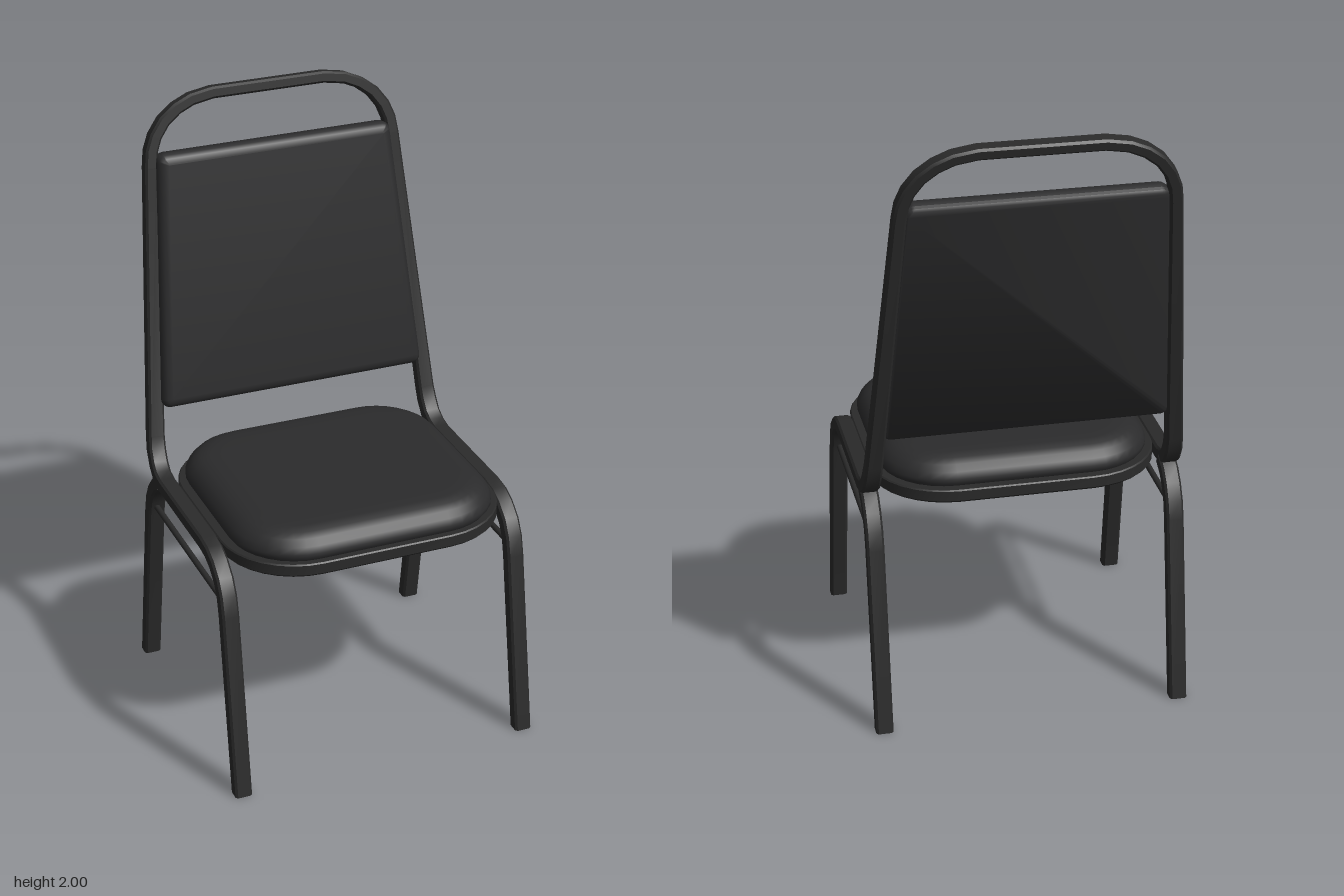
import * as THREE from 'three';
import { toCreasedNormals } from 'three/addons/utils/BufferGeometryUtils.js';

const TILT = 0.1844; // lean of the backrest
const V = (x, y, z) => new THREE.Vector3(x, y, z);

// Skin a list of equal-length rings and close both ends
function loft(rings, crease) {
  const n = rings[0].length, last = (rings.length - 1) * n, pos = [], idx = [];
  rings.forEach(r => r.forEach(p => pos.push(p.x, p.y, p.z)));
  for (let i = 0; i < rings.length - 1; i++) {
    for (let j = 0; j < n; j++) {
      const a = i * n + j, b = i * n + (j + 1) % n;
      idx.push(a, b, b + n, a, b + n, a + n);
    }
  }
  for (let j = 1; j < n - 1; j++) idx.push(0, j + 1, j, last, last + j, last + j + 1);
  const g = new THREE.BufferGeometry();
  g.setAttribute('position', new THREE.Float32BufferAttribute(pos, 3));
  g.setIndex(idx);
  return toCreasedNormals(g, crease);
}

// Chamfered rectangular tube along a path; the feet are cut flat on the floor
function squareTube(path) {
  const backNormal = V(0, -Math.sin(TILT), -Math.cos(TILT));
  const rings = path.map((p, i) => {
    const before = path[Math.max(i - 1, 0)], after = path[Math.min(i + 1, path.length - 1)];
    const dirIn = p.clone().sub(before).normalize(), dirOut = after.clone().sub(p).normalize();
    const t = dirIn.add(dirOut).normalize();
    const b = p.y > 0.89 ? backNormal.clone()
      : V(0, t.z, -t.y).multiplyScalar(Math.sign(p.x)).normalize();
    const a = b.clone().cross(t).normalize();
    const w = p.y > 0.89 ? THREE.MathUtils.mapLinear(p.y, 0.89, 1.98, 0.027, 0.019) : 0.028;
    const d = 0.024, c = 0.007;
    const section = [[w, c - d], [w, d - c], [w - c, d], [c - w, d],
      [-w, d - c], [-w, c - d], [c - w, -d], [w - c, -d]];
    return section.map(([u, v]) => {
      const q = p.clone().addScaledVector(a, u).addScaledVector(b, v);
      if (p.y === 0) q.y = 0;
      return q;
    });
  });
  return loft(rings, 0.6);
}

// Rounded, optionally tapered outline at height z, shrunk by an inset
function outline(bottomHalf, topHalf, y0, y1, radius, inset, z, steps = 8) {
  const r = Math.max(radius - inset, 0.004), pts = [];
  const corners = [[topHalf, y1, 1, 1], [-topHalf, y1, -1, 1],
    [-bottomHalf, y0, -1, -1], [bottomHalf, y0, 1, -1]];
  corners.forEach(([x, y, sx, sy], k) => {
    for (let s = 0; s <= steps; s++) {
      const ang = (k + s / steps) * Math.PI / 2;
      pts.push(V(x - sx * (inset + r) + Math.cos(ang) * r, y - sy * (inset + r) + Math.sin(ang) * r, z));
    }
  });
  return pts;
}

export function createModel() {
  const model = new THREE.Group();
  const frameMat = new THREE.MeshStandardMaterial({ color: 0x2a2a2a });
  frameMat.name = 'black metal';
  const padMat = new THREE.MeshStandardMaterial({ color: 0x2b2b2c });
  padMat.name = 'black upholstery';
  const add = (name, geometry, material) => {
    const mesh = new THREE.Mesh(geometry, material);
    mesh.name = name;
    model.add(mesh);
    return mesh;
  };

  // Continuous frame: front leg, seat rail, upright and top arch, then mirrored
  const side = [[0.493, 0, 0.5], [0.49, 0.61, 0.403], [0.49, 0.67, 0.388], [0.49, 0.715, 0.362],
    [0.49, 0.75, 0.32], [0.49, 0.77, 0.275], [0.49, 0.777, 0.22], [0.49, 0.777, -0.17],
    [0.49, 0.787, -0.215], [0.488, 0.812, -0.252], [0.486, 0.855, -0.28]].map(p => V(...p));
  const back = [[0.483, 0.9], [0.418, 1.77], [0.411, 1.82], [0.393, 1.865], [0.36, 1.909],
    [0.315, 1.943], [0.262, 1.966], [0.19, 1.978]]
    .map(([x, y]) => V(x, y, -0.295 - (y - 0.9) * Math.tan(TILT)));
  const half = [...side, ...back];
  const mirrored = half.map(p => V(-p.x, p.y, p.z)).reverse();
  add('frame', squareTube([...half, ...mirrored]), frameMat);

  // Rear legs and side stretchers
  for (const s of [1, -1]) {
    const label = s > 0 ? 'left' : 'right';
    const leg = [[0, -0.41], [0.61, -0.312], [0.665, -0.297], [0.71, -0.272], [0.745, -0.24], [0.77, -0.195]]
      .map(([y, z]) => V(s * 0.488, y, z));
    // run the path so the section winds the same way on both sides
    add(label + 'RearLeg', squareTube(leg), frameMat);
    const bar = add(label + 'Stretcher', new THREE.CylinderGeometry(0.01, 0.01, 0.71, 10), frameMat);
    bar.rotation.x = Math.PI / 2;
    bar.position.set(s * 0.49, 0.635, 0.045);
  }

  // Seat pan
  const pan = [[0.008, 0.755], [0, 0.763], [0, 0.796], [0.004, 0.8]]
    .map(([inset, y]) => outline(0.465, 0.465, -0.515, 0.335, 0.25, inset, y));
  add('seatPan', loft(pan, 0.6), frameMat).rotation.x = -Math.PI / 2;

  // Domed seat cushion
  const cushion = [[0.012, 0.795], [0, 0.812], [0, 0.825], [0.01, 0.846], [0.028, 0.865],
    [0.05, 0.878], [0.08, 0.885], [0.12, 0.887]]
    .map(([inset, y]) => outline(0.44, 0.44, -0.498, 0.31, 0.22, inset, y));
  add('seatCushion', loft(cushion, 0.7), padMat).rotation.x = -Math.PI / 2;

  // Tapered back pad, leaning with the uprights
  const pad = [[0.012, -0.014], [0.004, -0.008], [0, 0.002], [0, 0.028], [0.005, 0.042],
    [0.016, 0.052], [0.032, 0.056]]
    .map(([inset, z]) => outline(0.459, 0.402, 0.092, 0.928, 0.03, inset, z, 5));
  const backPad = add('backPad', loft(pad, 0.7), padMat);
  backPad.position.set(0, 0.9, -0.295);
  backPad.rotation.x = -TILT;

  return model;
}
